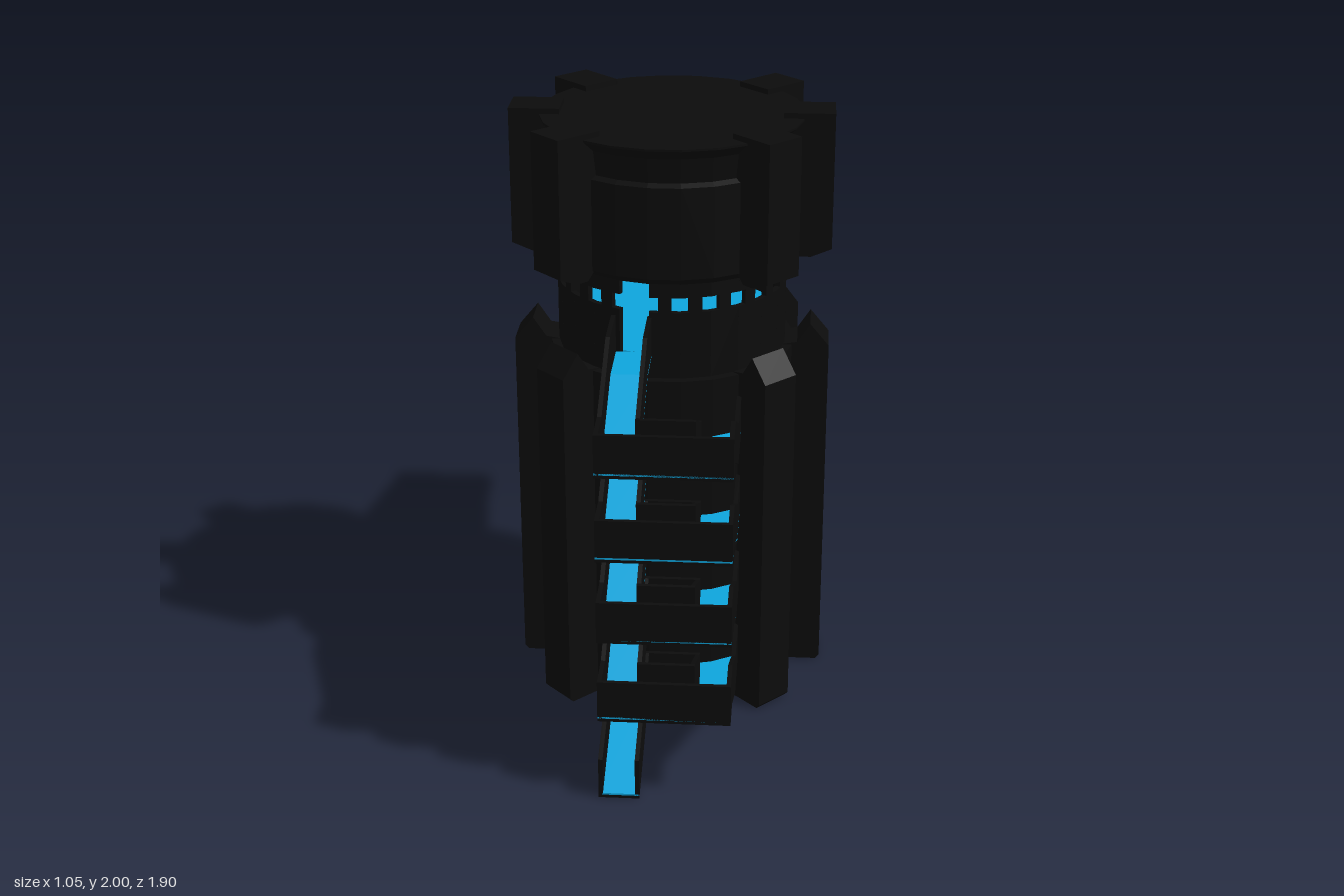
import * as THREE from 'three';

const black = new THREE.MeshStandardMaterial({ color: 0x0c0c0c, flatShading: true, side: THREE.DoubleSide });
const blue = new THREE.MeshStandardMaterial({ color: 0x0ea5dd, flatShading: true, side: THREE.DoubleSide });
const SIDES = 24, STEP = Math.PI * 2 / SIDES;

function add(parent, name, geometry, material = black) {
  const mesh = new THREE.Mesh(geometry, material);
  mesh.name = name;
  parent.add(mesh);
  return mesh;
}

function box(parent, name, x0, x1, y0, y1, z0, z1, material) {
  const mesh = add(parent, name, new THREE.BoxGeometry(x1 - x0, y1 - y0, z1 - z0), material);
  mesh.position.set((x0 + x1) / 2, (y0 + y1) / 2, (z0 + z1) / 2);
  return mesh;
}

// Prism across x between x0 and x1, from a (z, y) outline
function prism(parent, name, x0, x1, outline, material) {
  const shape = new THREE.Shape(outline.map(p => new THREE.Vector2(...p)));
  const g = new THREE.ExtrudeGeometry(shape, { depth: x1 - x0, bevelEnabled: false });
  g.rotateY(-Math.PI / 2).translate(x1, 0, 0);
  return add(parent, name, g, material);
}

// Sloped or level slab from (z0, y0) to (z1, y1), spanning heights a..b above that line
function slab(parent, name, x0, x1, z0, y0, z1, y1, a, b, material) {
  return prism(parent, name, x0, x1, [[z0, y0 + a], [z1, y1 + a], [z1, y1 + b], [z0, y0 + b]], material);
}

function walkway(parent, name, x0, x1, z0, y0, z1, y1) {
  slab(parent, name + 'Base', x0, x1, z0, y0, z1, y1, 0, 0.01);
  slab(parent, name + 'Floor', x0, x1, z0, y0, z1, y1, 0.01, 0.016, blue);
}

// Vertical rib from a (radius, y) outline, placed around the axis
function rib(parent, name, outline, angle) {
  const shape = new THREE.Shape(outline.map(p => new THREE.Vector2(...p)));
  const g = new THREE.ExtrudeGeometry(shape, { depth: 0.136, bevelEnabled: false });
  g.translate(0, 0, -0.068).rotateY(angle);
  add(parent, name, g);
}

function createTower() {
  const tower = new THREE.Group();
  tower.name = 'tower';
  tower.position.z = -0.015;

  const body = new THREE.CylinderGeometry(0.409, 0.409, 1.205, SIDES, 1, false, STEP / 2);
  add(tower, 'lowerBody', body).position.y = 0.6025;

  const headProfile = [[0, 1.53], [0.39, 1.53], [0.405, 1.55], [0.405, 1.85], [0.385, 1.86],
    [0.395, 1.94], [0.432, 1.975], [0.432, 1.982], [0, 1.982]].map(p => new THREE.Vector2(...p));
  add(tower, 'upperBody', new THREE.LatheGeometry(headProfile, SIDES, STEP / 2));

  // Ribs every 45 degrees, left out where stairs and balcony sit
  const low = [[0.36, 0], [0.512, 0], [0.525, 0.015], [0.525, 1.205], [0.463, 1.28], [0.42, 1.215], [0.36, 1.205]];
  const high = [[0.36, 1.545], [0.39, 1.545], [0.415, 1.517], [0.457, 1.517], [0.525, 1.545], [0.525, 2], [0.36, 2]];
  for (let i = 0; i < 8; i++) {
    const angle = i * Math.PI / 4;
    if (i !== 6) rib(tower, 'lowerRib', low, angle);
    if (i !== 6 && i !== 2) rib(tower, 'upperRib', high, angle);
  }

  // Neck: a ring of wall panels and window posts with two doorways
  const neck = new THREE.Group();
  neck.name = 'neck';
  tower.add(neck);
  for (let k = 0; k < SIDES; k++) {
    const panel = new THREE.Group();
    panel.name = 'neckPanel';
    panel.rotation.y = k * STEP;
    neck.add(panel);
    const door = k === SIDES - 1 || k === SIDES / 2;
    box(panel, door ? 'doorSill' : 'wall', -0.05, 0.05, 1.2, door ? 1.275 : 1.43, 0.36, 0.378);
    if (door) continue;
    box(panel, 'windowPost', -0.021, 0.021, 1.43, 1.48, 0.36, 0.378);
    box(panel, 'lintel', -0.05, 0.05, 1.48, 1.535, 0.36, 0.378);
  }
  const floor = new THREE.CylinderGeometry(0.365, 0.365, 0.01, SIDES, 1, false, STEP / 2);
  add(neck, 'deckFloor', floor, blue).position.y = 1.277;
  return tower;
}

function createStairs() {
  const stairs = new THREE.Group();
  stairs.name = 'stairs';
  const L0 = -0.172, L1 = -0.042, R0 = 0.112, R1 = 0.245;
  const inner = 0.53, outer = 0.82, end = 0.95, H = 0.141, T = 0.014;

  function ramp(x0, x1, z0, y0, z1, y1) {
    walkway(stairs, 'ramp', x0, x1, z0, y0, z1, y1);
    for (const x of [x0, x1 - T]) slab(stairs, 'rampParapet', x, x + T, z0, y0, z1, y1, 0, H);
  }

  // Landing with a parapet at each end and one between the two lanes
  function landing(y, z0, z1, gapZ) {
    walkway(stairs, 'landing', L0, R1, z0, y, z1, y);
    for (const x of [L0, R1 - T]) box(stairs, 'landingParapet', x, x + T, y, y + H, z0, z1);
    box(stairs, 'landingParapet', L1 - T, R0 + T, y, y + H, gapZ, gapZ + T);
  }

  ramp(L0, L1, end, 0, inner, 0.143);
  for (let i = 0; i < 4; i++) {
    const y = 0.143 + i * 0.282, mid = y + 0.141, next = y + 0.282;
    landing(y, 0.3, inner, inner - T);
    ramp(R0, R1, inner, y, outer, mid);
    landing(mid, outer, end, outer);
    box(stairs, 'landingFront', L0, R1, mid, mid + H, end - T, end);
    ramp(L0, L1, outer, mid, inner, next);
  }
  // Last landing leads through the front doorway
  ramp(L0, L1, inner, 1.271, 0.345, 1.271);
  return stairs;
}

function createBalcony() {
  const balcony = new THREE.Group();
  balcony.name = 'balcony';
  // Quads mirrored across x = 0
  function panels(name, quads, material) {
    const pos = [];
    for (const q of quads) for (const s of [1, -1]) {
      const order = s > 0 ? [0, 1, 2, 0, 2, 3] : [0, 2, 1, 0, 3, 2];
      for (const i of order) pos.push(q[i][0] * s, q[i][1], q[i][2]);
    }
    const g = new THREE.BufferGeometry();
    g.setAttribute('position', new THREE.Float32BufferAttribute(pos, 3));
    g.computeVertexNormals();
    add(balcony, name, g, material);
  }
  const floorIn = [0.095, 1.285, -0.37], floorOut = [0.172, 1.345, -0.95];
  const topIn = [0.252, 1.405, -0.32], topOut = [0.18, 1.347, -0.95];
  const lipOut = [0.172, 1.29, -0.94], keelOut = [0.13, 1.23, -0.81], keelIn = [0.19, 1.23, -0.32];
  const mid = p => [0, p[1], p[2]];
  panels('balconyFloor', [[mid(floorIn), floorIn, floorOut, mid(floorOut)]], blue);
  panels('balconyHull', [
    [floorIn, topIn, topOut, floorOut],
    [topIn, keelIn, keelOut, topOut],
    [topOut, keelOut, lipOut, lipOut],
    [mid(topOut), topOut, lipOut, mid(lipOut)],
    [mid(lipOut), lipOut, keelOut, mid(keelOut)],
    [mid(keelOut), keelOut, keelIn, mid(keelIn)],
  ]);
  // Railing at the tip
  for (let i = 0; i < 4; i++) {
    const x = -0.14 + i * 0.28 / 3;
    box(balcony, 'railPost', x - 0.005, x + 0.005, 1.335, 1.41, -0.937, -0.927);
  }
  for (const y of [1.375, 1.405]) box(balcony, 'rail', -0.145, 0.145, y - 0.004, y + 0.005, -0.937, -0.927);
  return balcony;
}

export function createModel() {
  const model = new THREE.Group();
  model.name = 'watchtower';
  model.add(createTower(), createStairs(), createBalcony());
  return model;
}
